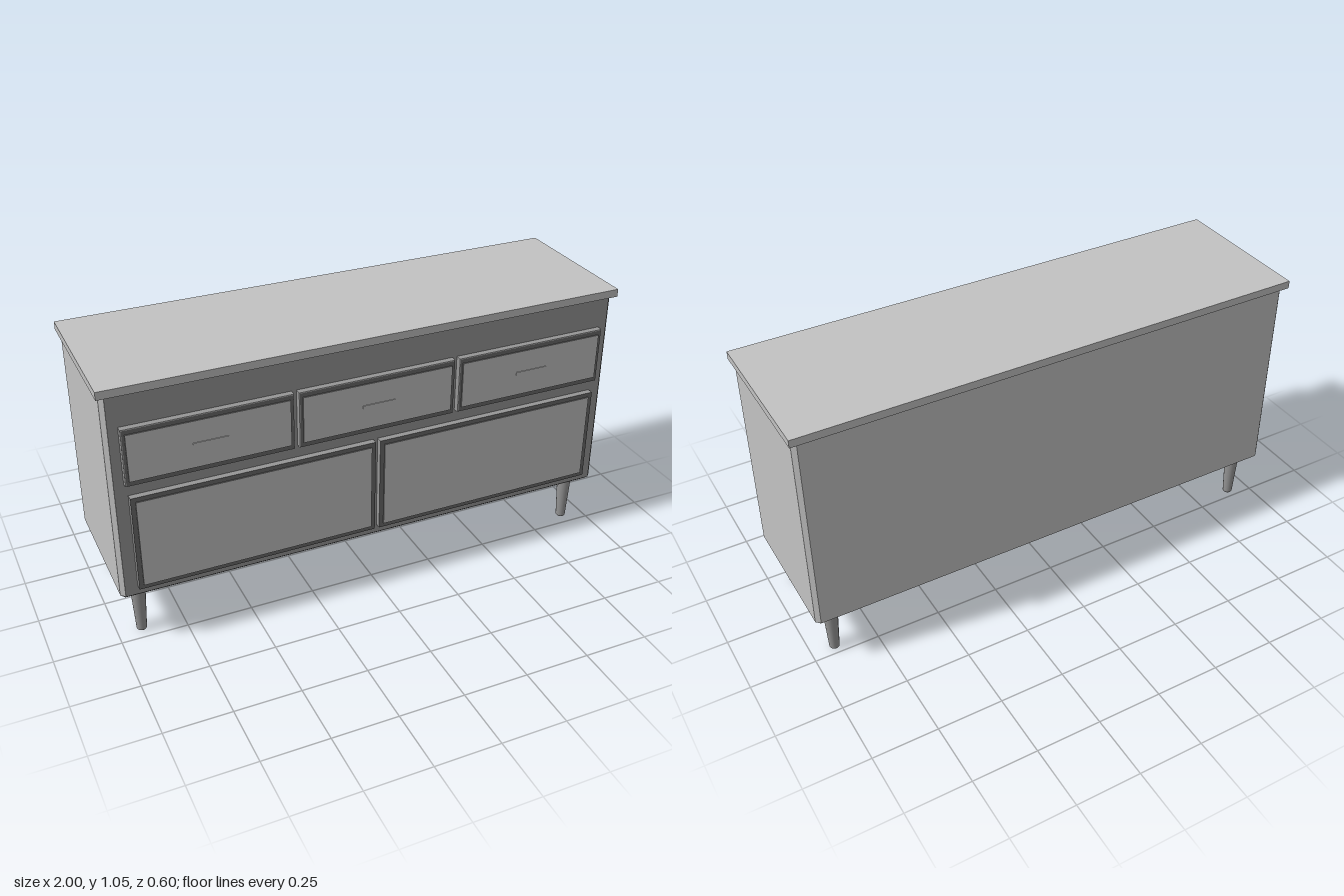
import * as THREE from 'three';
import { ConvexGeometry } from 'three/addons/geometries/ConvexGeometry.js';

export function createModel() {
  const group = new THREE.Group();
  const paint = new THREE.MeshStandardMaterial({ name: 'light grey', color: 0xc3c3c3 });
  const trim = new THREE.MeshStandardMaterial({ name: 'mid grey', color: 0x969696 });
  const dark = new THREE.MeshStandardMaterial({ name: 'dark grey', color: 0x6a6a6a });

  const add = (name, geometry, material) => {
    const mesh = new THREE.Mesh(geometry, material);
    mesh.name = name;
    group.add(mesh);
    return mesh;
  };
  // Box given by its lower and upper limits; material may be one per face (+x -x +y -y +z -z)
  const block = (name, material, x0, x1, y0, y1, z0, z1) =>
    add(name, new THREE.BoxGeometry(x1 - x0, y1 - y0, z1 - z0), material)
      .position.set((x0 + x1) / 2, (y0 + y1) / 2, (z0 + z1) / 2);

  // Eight corners of a rectangle with cut corners, at height y
  const ring = (x, zBack, zFront, y, c) => {
    const points = [];
    for (const s of [-1, 1]) {
      points.push(new THREE.Vector3(s * x, y, zFront - c), new THREE.Vector3(s * (x - c), y, zFront),
        new THREE.Vector3(s * x, y, zBack + c), new THREE.Vector3(s * (x - c), y, zBack));
    }
    return points;
  };

  // Cabinet with chamfered uprights, sloping lower edge and dark underside
  const body = ring(0.987, -0.287, 0.268, 0.215, 0.016);
  add('cabinet', new ConvexGeometry([...body, ...ring(0.987, -0.287, 0.268, 1.019, 0.016)]), paint);
  add('lowerEdge', new ConvexGeometry([...body, ...ring(0.971, -0.271, 0.252, 0.2, 0.002)]), trim);
  block('underside', dark, -0.97, 0.97, 0.199, 0.203, -0.27, 0.251);
  block('frontPanel', trim, -0.971, 0.971, 0.215, 1.018, 0.264, 0.27);
  block('top', [paint, paint, paint, dark, paint, paint], -1, 1, 1.018, 1.048, -0.302, 0.283);

  // Drawer surround with bevelled edges
  const bevelledSlab = (w, h, d, b) => {
    const shape = new THREE.Shape();
    const x = w / 2 - b, y = h / 2 - b;
    shape.moveTo(-x, -y).lineTo(x, -y).lineTo(x, y).lineTo(-x, y).closePath();
    return new THREE.ExtrudeGeometry(shape, {
      depth: d - 2 * b, bevelThickness: b, bevelSize: b, bevelSegments: 2,
    }).translate(0, 0, b);
  };
  const panelFaces = [dark, dark, dark, dark, paint, paint];

  // Three drawers with dark surrounds, raised panels and slim pulls
  for (const x of [-0.63, 0, 0.63]) {
    add('drawerFrame', bevelledSlab(0.612, 0.22, 0.027, 0.004), [dark, trim]).position.set(x, 0.789, 0.267);
    block('drawerPanel', panelFaces, x - 0.292, x + 0.292, 0.699, 0.879, 0.285, 0.299);
    block('drawerPull', paint, x - 0.064, x + 0.064, 0.783, 0.796, 0.297, 0.302);
  }

  // Two wide doors with dark surrounds and raised panels
  for (const x of [-0.467, 0.467]) {
    block('doorFrame', [trim, trim, trim, trim, dark, trim], x - 0.458, x + 0.458, 0.25, 0.63, 0.267, 0.294);
    block('doorPanel', panelFaces, x - 0.441, x + 0.441, 0.267, 0.613, 0.285, 0.299);
  }

  // Tapered legs with a small rounded foot
  const legProfile = [[0, 0], [0.016, 0], [0.019, 0.004], [0.029, 0.204]]
    .map(([r, y]) => new THREE.Vector2(r, y));
  for (const x of [-0.91, 0.91]) {
    for (const z of [0.194, -0.212]) {
      add('leg', new THREE.LatheGeometry(legProfile, 24), trim).position.set(x, 0, z);
    }
  }
  return group;
}
